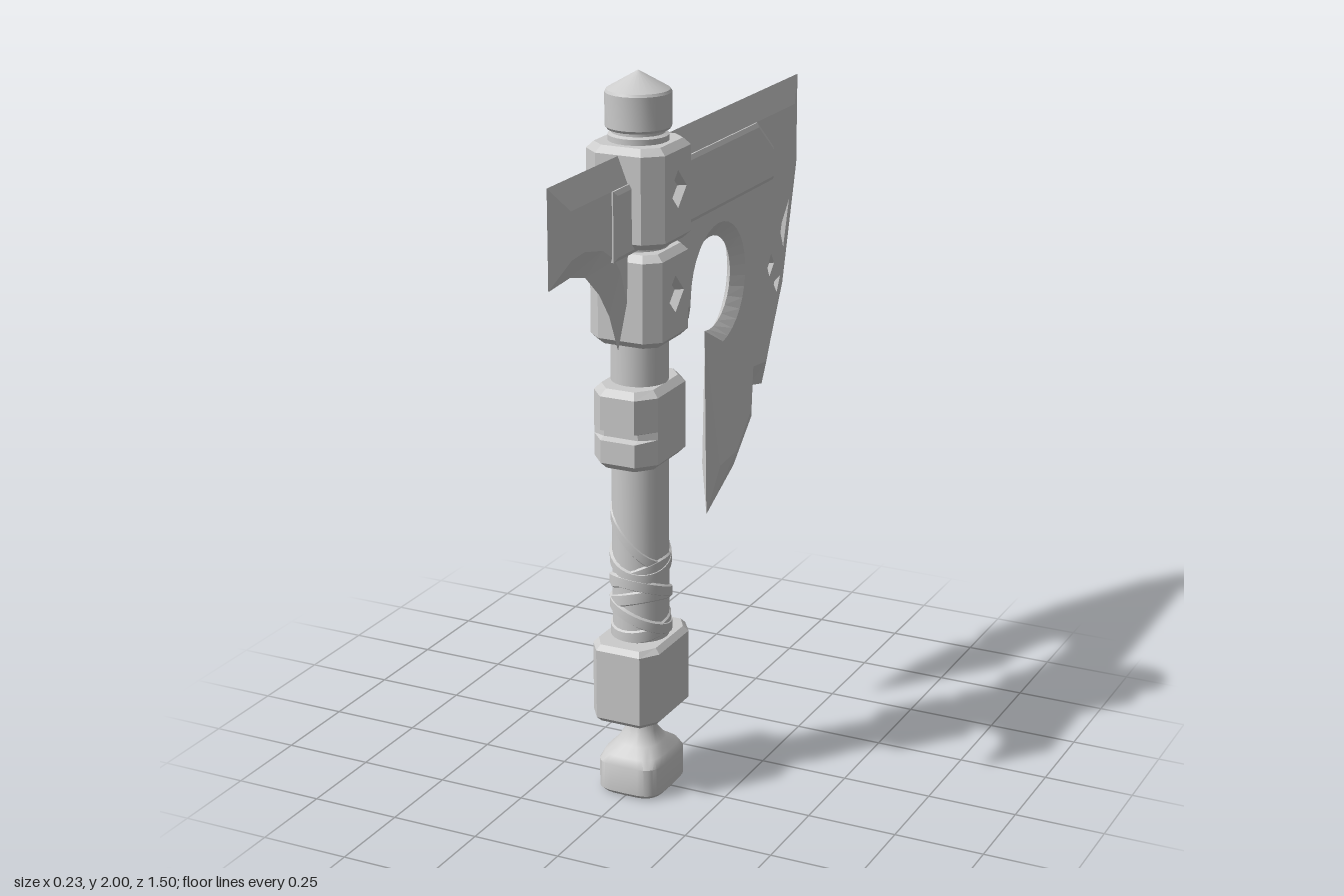
import * as THREE from 'three';
import { toCreasedNormals } from 'three/addons/utils/BufferGeometryUtils.js';

const HANDLE_Z = 0.26;
const TAU = Math.PI * 2;
const material = new THREE.MeshStandardMaterial({ color: 0xcccccc });

// Collects triangles and turns them into a flat-faced geometry
class Builder {
  constructor() { this.v = []; }
  tri(a, b, c) { this.v.push(...a, ...b, ...c); }
  quad(a, b, c, d) { this.tri(a, b, c); this.tri(a, c, d); }
  geometry() {
    const g = new THREE.BufferGeometry();
    g.setAttribute('position', new THREE.Float32BufferAttribute(this.v, 3));
    g.computeVertexNormals();
    return g;
  }
  // sloping strip between two matching outlines in the XY plane; s = -1 mirrors it in z
  rim(a, za, b, zb, s = 1) {
    a.forEach((p, i) => {
      const j = (i + 1) % a.length;
      const q = [[...p, za * s], [...a[j], za * s], [...b[j], zb * s], [...b[i], zb * s]];
      this.quad(...(s > 0 ? q : q.reverse()));
    });
  }
  // flat cap, with holes sunk into it as tapered pits
  cap(outline, z, s = 1, holes = [], depth = 0.02) {
    const vec = (pts) => pts.map((p) => new THREE.Vector2(...p));
    const all = [outline, ...holes].flat().map((p) => [...p, z * s]);
    for (const [a, b, c] of THREE.ShapeUtils.triangulateShape(vec(outline), holes.map(vec))) {
      if (s > 0) this.tri(all[a], all[b], all[c]);
      else this.tri(all[a], all[c], all[b]);
    }
    for (const h of holes) {
      const mid = [0, 1].map((k) => h.reduce((t, p) => t + p[k], 0) / h.length);
      const floor = h.map((p) => p.map((c, k) => mid[k] + (c - mid[k]) * 0.7));
      this.rim(h, z, floor, z - depth, s);
      this.cap(floor, z - depth, s);
    }
  }
  // skin over rings of points that run upwards, each counter-clockwise from above
  loft(rings, { closed = false, skip = () => false } = {}) {
    const n = rings[0].length;
    const last = closed ? rings.length : rings.length - 1;
    for (let r = 0; r < last; r++) {
      const a = rings[r], b = rings[(r + 1) % rings.length];
      for (let i = 0; i < n; i++) {
        const j = (i + 1) % n;
        if (!skip(r, i)) this.quad(a[i], a[j], b[j], b[i]);
      }
    }
    if (closed) return;
    const top = rings[rings.length - 1];
    for (let i = 1; i < n - 1; i++) {
      this.tri(rings[0][0], rings[0][i + 1], rings[0][i]);
      this.tri(top[0], top[i], top[i + 1]);
    }
  }
}

const ccw = (pts) => [...pts].reverse();

// Plate lying in the blade plane, chamfered from outer (at zo) to inner (at zi) on both sides
function plate(outer, zo, inner, zi, marks = []) {
  const b = new Builder(), o = ccw(outer), n = ccw(inner);
  b.rim(o, zo, n, zi, 1);
  b.rim(o, zo, n, zi, -1);
  if (zo > 0) b.rim(o, -zo, o, zo);
  b.cap(n, zi, 1, marks, 0.012);
  b.cap(n, zi, -1);
  return b.geometry().rotateY(Math.PI / 2);
}

// Eight-sided ring with half sizes hx, hz and flat halves fx, fz
const octagon = (y, hx, hz, fx, fz) => [
  [hx, y, fz], [hx, y, -fz], [fx, y, -hz], [-fx, y, -hz],
  [-hx, y, -fz], [-hx, y, fz], [-fx, y, hz], [fx, y, hz],
];

// Chamfered block; an optional groove crosses its front and back, or a diamond pit its sides
function block(y0, y1, hx, hz, fx, fz, { bevel = 0.018, groove, diamond } = {}) {
  const b = new Builder();
  const end = (y) => octagon(y, hx - bevel, hz - bevel, fx - bevel / 2, fz - bevel / 2);
  const full = (y, cut = 0) => octagon(y, hx, hz - cut, fx, fz);
  const rings = [end(y0), full(y0 + bevel)];
  if (groove) {
    rings.push(full(groove - 0.014), full(groove - 0.008, 0.02),
      full(groove + 0.008, 0.02), full(groove + 0.014));
  }
  rings.push(full(y1 - bevel), end(y1));
  b.loft(rings, { skip: (r, i) => diamond && r === 1 && i % 4 === 0 });
  const parts = [b.geometry()];
  if (diamond) {
    const lo = y0 + bevel, hi = y1 - bevel, d = 0.05;
    const pit = [[d, diamond], [0, diamond + d], [-d, diamond], [0, diamond - d]];
    for (const turn of [1, -1]) {
      const face = new Builder();
      face.cap([[-fz, lo], [fz, lo], [fz, hi], [-fz, hi]], hx, 1, [pit]);
      parts.push(face.geometry().rotateY(turn * Math.PI / 2));
    }
  }
  return parts;
}

// Cloth strip wound round the shaft on a tilt
function wrap(y, tilt, phase, h, thick) {
  const rings = [], b = new Builder();
  for (const [r, dy] of [[0.07, -h], [0.077 + thick, -h * 0.6], [0.077 + thick, h * 0.6], [0.07, h]]) {
    rings.push(Array.from({ length: 32 }, (_, i) => {
      const a = i / 32 * TAU;
      return [Math.cos(a) * r, y + dy + tilt * Math.sin(a + phase), -Math.sin(a) * r];
    }));
  }
  b.loft(rings, { closed: true });
  return toCreasedNormals(b.geometry(), 0.5);
}

export function createModel() {
  const model = new THREE.Group();
  const add = (name, geometries, z = 0) => {
    const part = new THREE.Group();
    part.name = name;
    part.position.z = z;
    for (const g of [geometries].flat()) {
      const mesh = new THREE.Mesh(g, material);
      mesh.name = name;
      part.add(mesh);
    }
    model.add(part);
  };

  // Handle: shaft, blocks and collars
  const shaft = new THREE.CylinderGeometry(0.077, 0.077, 1.5, 24).translate(0, 1.06, 0);
  add('shaft', shaft, HANDLE_Z);
  add('upperHeadBlock', block(1.555, 1.82, 0.113, 0.117, 0.065, 0.075, { diamond: 1.7 }), HANDLE_Z);
  add('lowerHeadBlock', block(1.29, 1.54, 0.105, 0.11, 0.065, 0.075, { diamond: 1.42 }), HANDLE_Z);
  add('middleCollar', block(0.955, 1.175, 0.094, 0.132, 0.05, 0.082, { groove: 1.05 }), HANDLE_Z);
  add('lowerCollar', block(0.225, 0.45, 0.1, 0.14, 0.065, 0.09, { bevel: 0.014 }), HANDLE_Z);

  // Pointed cap on top
  const capProfile = [[0.08, 1.8], [0.08, 1.835], [0.07, 1.84], [0.07, 1.85], [0.082, 1.85],
    [0.087, 1.857], [0.087, 1.945], [0.083, 1.952], [0, 2]].map((p) => new THREE.Vector2(...p));
  add('topCap', toCreasedNormals(new THREE.LatheGeometry(capProfile, 24), 0.5), HANDLE_Z);

  // Pommel: round neck flaring into a rounded square knob
  const knob = [[0, 0.085, 0.1, 4], [0.012, 0.095, 0.112, 4], [0.09, 0.095, 0.112, 4], [0.112, 0.085, 0.1, 3.5],
    [0.135, 0.062, 0.068, 2.6], [0.165, 0.045, 0.046, 2], [0.2, 0.037, 0.037, 2], [0.24, 0.036, 0.036, 2]]
    .map(([y, hx, hz, n]) => Array.from({ length: 32 }, (_, i) => {
      const a = i / 32 * TAU;
      const f = (c) => Math.sign(c) * Math.abs(c) ** (2 / n);
      return [hx * f(Math.cos(a)), y, -hz * f(Math.sin(a))];
    }));
  const pommel = new Builder();
  pommel.loft(knob);
  add('pommel', toCreasedNormals(pommel.geometry(), 0.6), HANDLE_Z);

  // Grip wraps: height, tilt, phase, half width, thickness
  add('gripWrap', [
    [0.48, 0.02, 0.4, 0.025, 0.005], [0.51, -0.035, 1.2, 0.022, 0.008], [0.555, 0.03, 2.2, 0.024, 0.005],
    [0.59, -0.03, 0.2, 0.022, 0.008], [0.635, 0.035, 1.5, 0.024, 0.005], [0.675, -0.04, 2.6, 0.02, 0.007],
    [0.735, 0.075, -1.5, 0.022, 0.004],
  ].map((w) => wrap(...w)), HANDLE_Z);

  // Main blade: paired outlines for cutting edge and flat, with a round cut-out
  const arc = (r, from, to) => Array.from({ length: 25 }, (_, i) => {
    const a = THREE.MathUtils.degToRad(from + (to - from) * i / 24);
    return [0.165 + r * Math.cos(a), 1.325 + r * Math.sin(a)];
  });
  const bladeEdge = [[-0.15, 1.8], [0.75, 1.8], [0.75, 1.54], [0.66, 1.2], [0.52, 0.93], [0.43, 0.95],
    [0.45, 0.85], [0.33, 0.74], [0.15, 0.65], ...arc(0.133, -103, 190), [0.035, 1.26], [-0.15, 1.27]];
  const bladeFlat = [[-0.12, 1.73], [0.67, 1.73], [0.67, 1.55], [0.6, 1.24], [0.49, 1.01], [0.4, 1.02],
    [0.385, 0.89], [0.29, 0.8], [0.18, 0.79], ...arc(0.175, -80, 175), [-0.012, 1.31], [-0.13, 1.31]];
  const nicks = [
    [[0.638, 1.46], [0.574, 1.383], [0.6, 1.325]],
    [[0.516, 1.325], [0.489, 1.293], [0.505, 1.26], [0.537, 1.293]],
    [[0.53, 1.235], [0.558, 1.2], [0.58, 1.245]],
  ];
  add('mainBlade', plate(bladeEdge, 0, bladeFlat, 0.028, nicks));

  // Short counter blade on the other side
  const counterEdge = [[-0.75, 1.8], [-0.36, 1.8], [-0.383, 1.285], [-0.43, 1.39], [-0.484, 1.462],
    [-0.558, 1.526], [-0.638, 1.547], [-0.75, 1.54]];
  const counterFlat = [[-0.68, 1.73], [-0.37, 1.73], [-0.385, 1.42], [-0.42, 1.51], [-0.452, 1.55],
    [-0.516, 1.59], [-0.612, 1.61], [-0.68, 1.605]];
  add('counterBlade', plate(counterEdge, 0, counterFlat, 0.028));

  // Strap clamping both blades
  const strapEdge = [[-0.465, 1.73], [0.405, 1.73], [0.515, 1.64], [0.515, 1.545], [-0.465, 1.545]];
  const strapFace = [[-0.453, 1.718], [0.4, 1.718], [0.503, 1.634], [0.503, 1.557], [-0.453, 1.557]];
  add('bladeStrap', plate(strapEdge, 0.032, strapFace, 0.039));

  return model;
}
